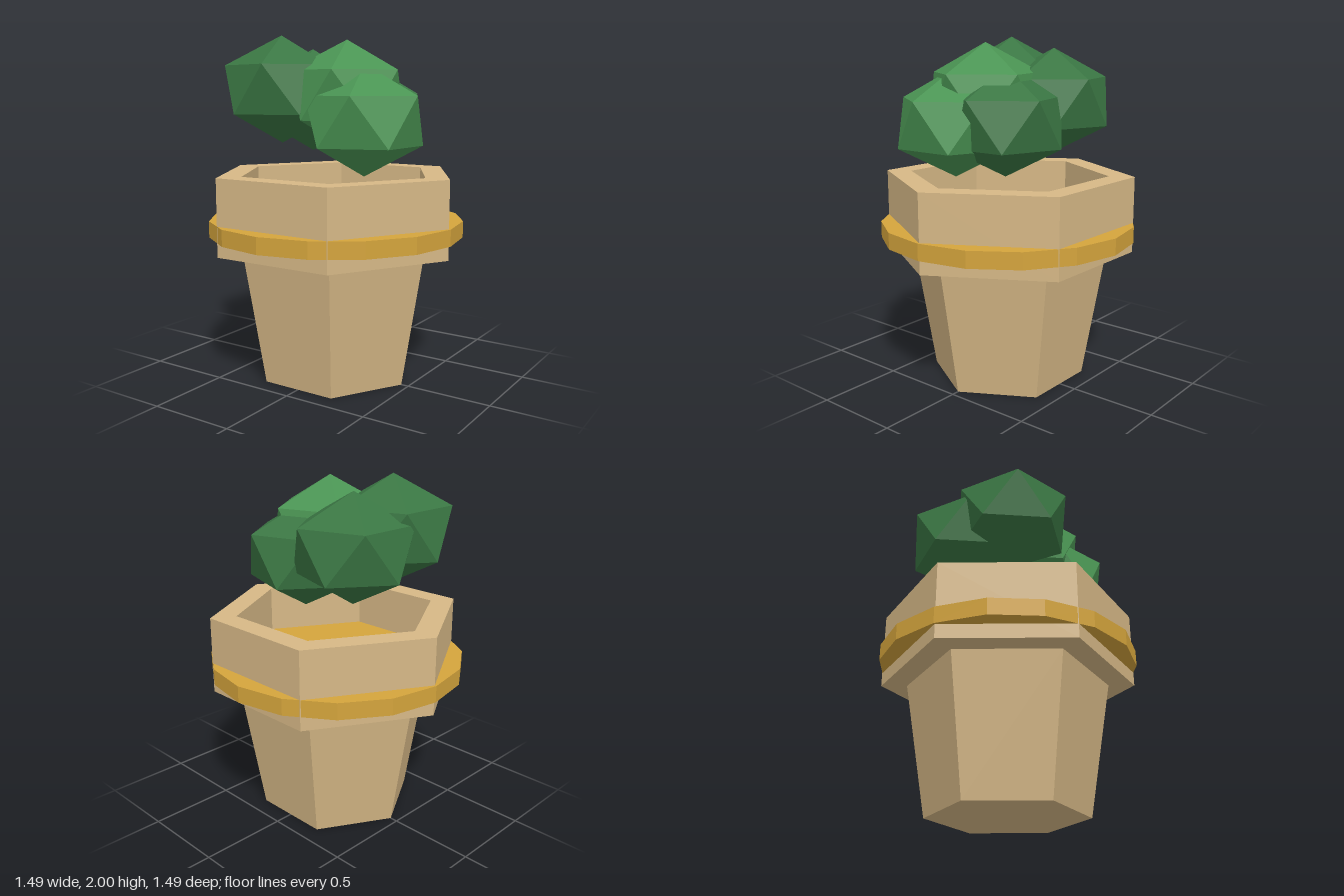
import * as THREE from 'three';

const paint = (name, color) => {
  const m = new THREE.MeshStandardMaterial({ color, flatShading: true });
  m.name = name;
  return m;
};

export function createModel() {
  const clay = paint('tan clay', 0xd6b886);
  const gold = paint('gold', 0xd4a43c);
  const darkLeaf = paint('dark green', 0x3a7643);
  const lightLeaf = paint('light green', 0x4a9453);

  const model = new THREE.Group();
  model.name = 'pottedBush';
  const add = (name, geometry, material, x = 0, y = 0, z = 0) => {
    const mesh = new THREE.Mesh(geometry, material);
    mesh.name = name;
    mesh.position.set(x, y, z);
    model.add(mesh);
  };

  // Tapered six-sided pot with corners on the x axis
  const body = new THREE.CylinderGeometry(0.585, 0.455, 0.77, 6, 1, false, Math.PI / 2);
  add('potBody', body, clay, 0, 0.385, 0);

  // Hollow six-sided rim: underside, outer wall, lip, inner wall
  const profile = [[0.5, 0.77], [0.735, 0.77], [0.735, 1.215], [0.587, 1.215], [0.587, 0.9]]
    .map(([r, y]) => new THREE.Vector2(r, y));
  add('potRim', new THREE.LatheGeometry(profile, 6, Math.PI / 2), clay);

  // Disc that bands the rim and forms the floor inside it
  add('goldDisc', new THREE.CylinderGeometry(0.746, 0.746, 0.095, 16), gold, 0, 0.8975, 0);

  // Squashed icosahedron, turned so that one corner points straight up
  const clump = new THREE.IcosahedronGeometry(0.364, 0);
  clump.rotateZ(-Math.atan(2 / (1 + Math.sqrt(5))));
  clump.scale(1, 0.84, 1);

  // Overlapping leaf clumps
  [
    ['leafClumpFrontRight', darkLeaf, -0.255, 1.694, 0.18],
    ['leafClumpBackRight', darkLeaf, -0.257, 1.63, -0.135],
    ['leafClumpBackLeft', darkLeaf, 0.15, 1.535, -0.105],
    ['leafClumpCentre', lightLeaf, 0.118, 1.664, 0.066],
    ['leafClumpFrontLeft', lightLeaf, 0.285, 1.525, 0.15],
  ].forEach(([name, material, x, y, z]) => add(name, clump, material, x, y, z));

  return model;
}
